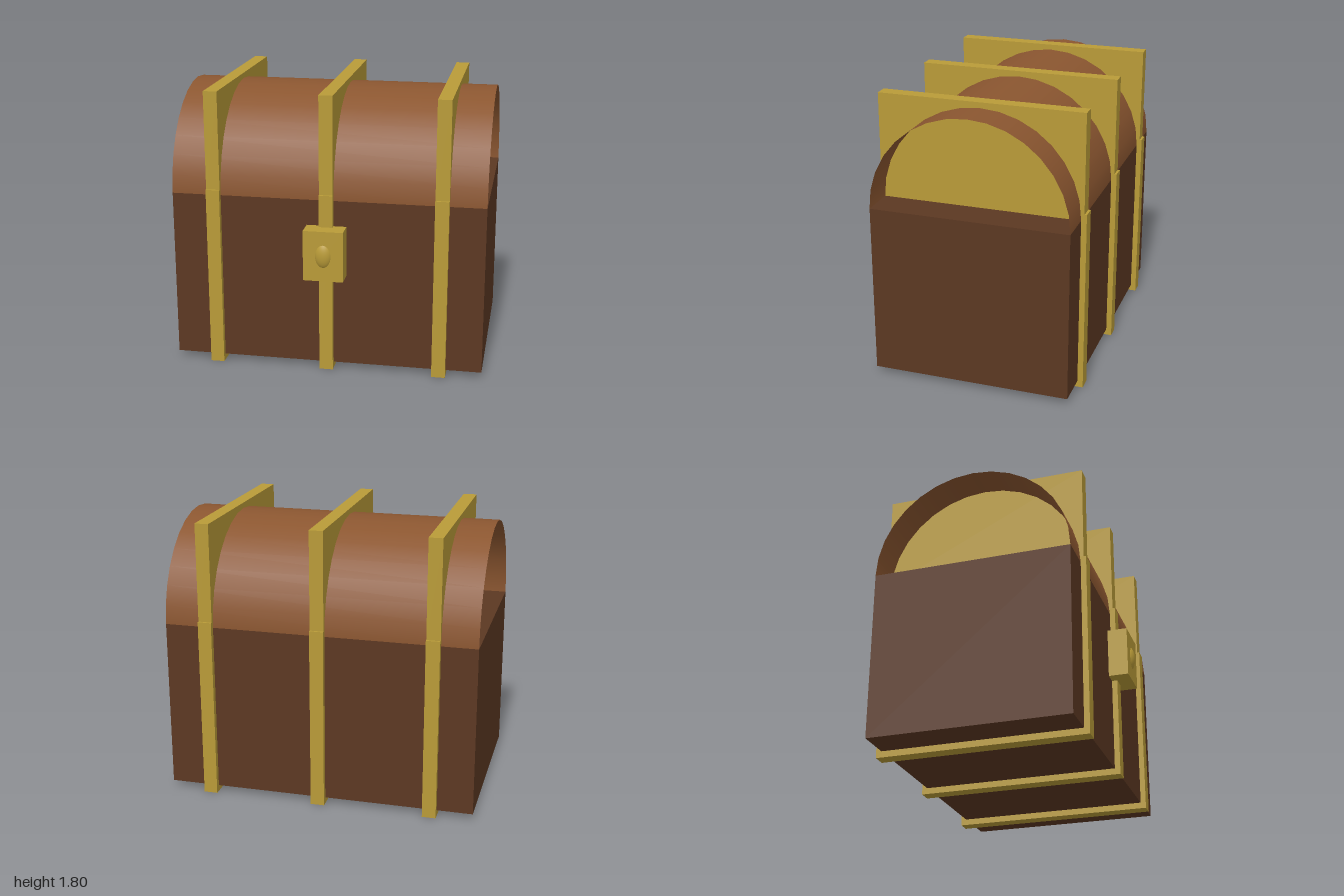
import * as THREE from 'three';

const wood = new THREE.MeshStandardMaterial({ color: 0x5c3822 });
const lidWood = new THREE.MeshStandardMaterial({ color: 0x8b5630, side: THREE.DoubleSide });
const brass = new THREE.MeshStandardMaterial({ color: 0xb99b38 });

// Box given by its limits on each axis
function box(name, material, [x0, x1], [y0, y1], [z0, z1]) {
  const mesh = new THREE.Mesh(new THREE.BoxGeometry(x1 - x0, y1 - y0, z1 - z0), material);
  mesh.position.set((x0 + x1) / 2, (y0 + y1) / 2, (z0 + z1) / 2);
  mesh.name = name;
  return mesh;
}

export function createModel() {
  const chest = new THREE.Group();
  chest.name = 'chest';

  // Wooden body
  chest.add(box('body', wood, [-1, 1], [0.04, 1.13], [-0.69, 0.58]));

  // Rounded lid: an open half cylinder lying along x
  const lidGeometry = new THREE.CylinderGeometry(0.635, 0.635, 2, 16, 1, true, Math.PI, Math.PI);
  lidGeometry.rotateZ(-Math.PI / 2);
  const lid = new THREE.Mesh(lidGeometry, lidWood);
  lid.name = 'lid';
  lid.position.set(0, 1.13, -0.055);
  chest.add(lid);

  // Metal bands: a lower slab round the body and a slightly shallower one through the lid
  for (const x of [-0.727, 0, 0.727]) {
    const width = [x - 0.044, x + 0.044];
    const band = new THREE.Group();
    band.name = 'band';
    band.add(box('bodyBand', brass, width, [0, 1.17], [-0.725, 0.615]));
    band.add(box('lidBand', brass, width, [1.17, 1.8], [-0.71, 0.6]));
    chest.add(band);
  }

  // Lock plate with an oval knob
  chest.add(box('lockPlate', brass, [-0.127, 0.127], [0.64, 0.965], [0.56, 0.708]));
  const knob = new THREE.Mesh(new THREE.SphereGeometry(1, 32, 16), brass);
  knob.name = 'lockKnob';
  knob.scale.set(0.058, 0.086, 0.04);
  knob.position.set(0, 0.803, 0.687);
  chest.add(knob);

  return chest;
}
